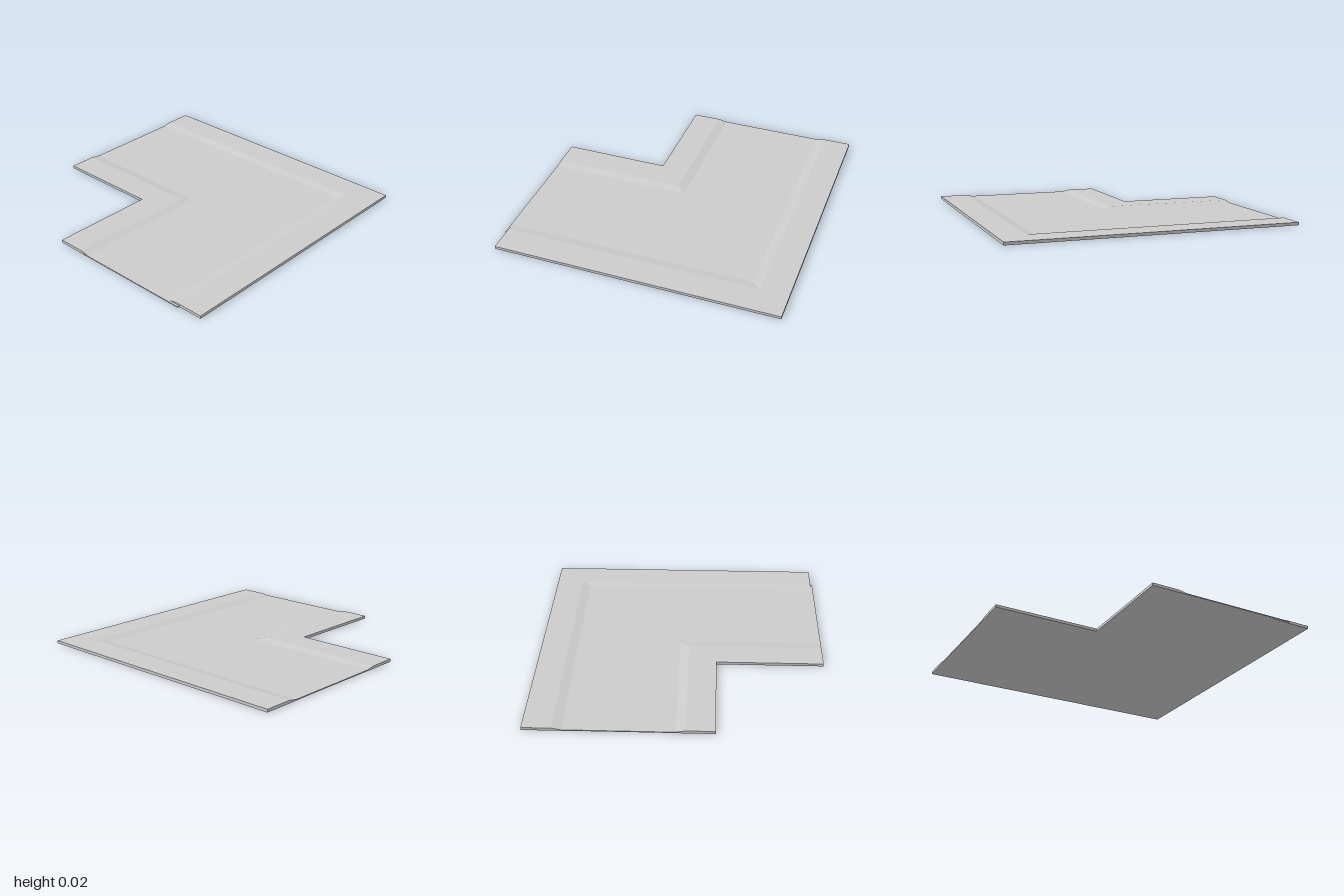
import * as THREE from 'three';

const material = new THREE.MeshStandardMaterial({ color: 0xcccccc, flatShading: true });

// Sweeps a closed [offset, height] section round the mitred right-angle bend.
// The section starts at the front end (+z), turns at the back corner and ends at x = -1.
function sweepBend(name, section, frontZ) {
  const n = section.length;
  const stations = [
    ([u, y]) => [u, y, frontZ],
    ([u, y]) => [u, y, -u],
    ([u, y]) => [-1, y, -u],
  ];
  const positions = stations.flatMap((place) => section.flatMap(place));
  const index = [];
  for (let s = 0; s < 2; s++) {
    for (let i = 0; i < n; i++) {
      const j = (i + 1) % n;
      const a = s * n + i, b = s * n + j, c = a + n, d = b + n;
      index.push(a, b, c, b, d, c);
    }
  }
  // End caps
  for (let i = 1; i < n - 1; i++) {
    index.push(0, i + 1, i);
    index.push(2 * n, 2 * n + i, 2 * n + i + 1);
  }
  const geometry = new THREE.BufferGeometry();
  geometry.setAttribute('position', new THREE.Float32BufferAttribute(positions, 3));
  geometry.setIndex(index);
  const flat = geometry.toNonIndexed();
  flat.computeVertexNormals();
  const mesh = new THREE.Mesh(flat, material);
  mesh.name = name;
  return mesh;
}

export function createModel() {
  const group = new THREE.Group();
  group.name = 'roadCorner';
  const top = 0.02, road = 0.008;

  // Sections run from the outer bottom edge, over the top, to the inner bottom edge
  group.add(sweepBend('outerPavement', [[1, 0], [1, top], [0.805, top], [0.7, 0]], 0.985));
  group.add(sweepBend('roadSurface', [[0.825, 0.001], [0.825, road], [-0.04, road], [-0.04, 0.001]], 1));
  group.add(sweepBend('innerPavement', [[0.05, 0], [-0.055, top], [-0.25, top], [-0.25, 0]], 0.998));

  // Make every face point outwards
  for (const mesh of group.children) {
    const p = mesh.geometry.attributes.position;
    const a = new THREE.Vector3(), b = new THREE.Vector3(), c = new THREE.Vector3();
    let volume = 0;
    for (let i = 0; i < p.count; i += 3) {
      a.fromBufferAttribute(p, i);
      b.fromBufferAttribute(p, i + 1);
      c.fromBufferAttribute(p, i + 2);
      volume += a.dot(b.cross(c));
    }
    if (volume < 0) {
      for (let i = 0; i < p.count; i += 3) {
        b.fromBufferAttribute(p, i + 1);
        c.fromBufferAttribute(p, i + 2);
        p.setXYZ(i + 1, c.x, c.y, c.z);
        p.setXYZ(i + 2, b.x, b.y, b.z);
      }
      mesh.geometry.computeVertexNormals();
    }
  }
  return group;
}
